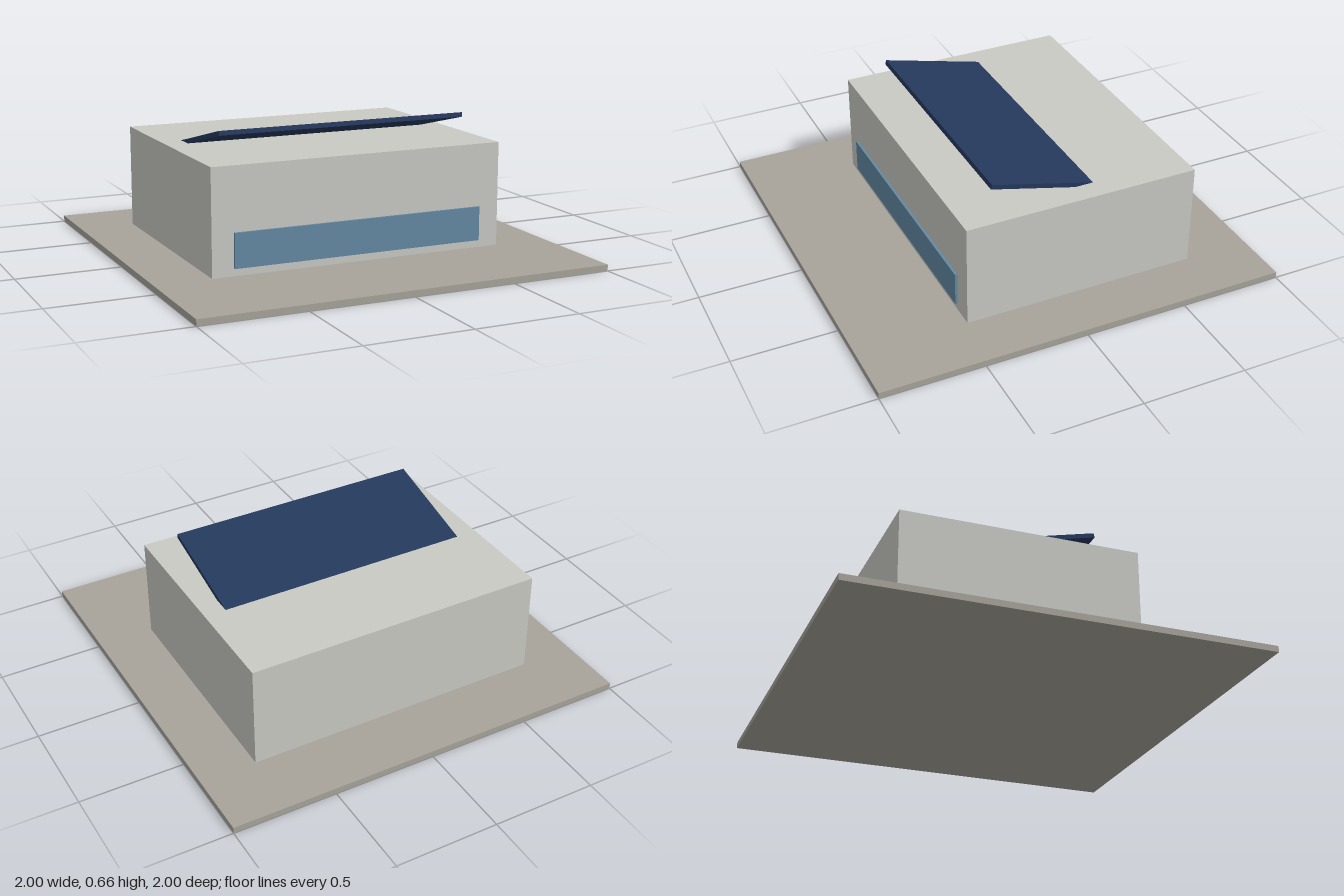
import * as THREE from 'three';

const material = (name, color) => {
  const m = new THREE.MeshStandardMaterial({ color });
  m.name = name;
  return m;
};

export function createModel() {
  const model = new THREE.Group();
  model.name = 'building';

  const stone = material('ground stone', 0xa8a49b);
  const wall = material('pale wall', 0xc9cac4);
  const glass = material('window blue', 0x648aa5);
  const navy = material('panel navy', 0x24385c);

  // Box with its centre at (x, y, z)
  const box = (name, mat, [w, h, d], [x, y, z]) => {
    const mesh = new THREE.Mesh(new THREE.BoxGeometry(w, h, d), mat);
    mesh.name = name;
    mesh.position.set(x, y, z);
    model.add(mesh);
    return mesh;
  };

  // Square ground slab
  box('groundSlab', stone, [2, 0.03, 2], [0, 0.015, 0]);

  // Main block, set back from the front
  box('mainBlock', wall, [1.46, 0.503, 1.145], [0, 0.2815, -0.1045]);

  // Long front window, standing slightly proud of the wall
  box('frontWindow', glass, [1.25, 0.164, 0.02], [0, 0.148, 0.47]);

  // Roof panel rising to the front, its rear edge sunk into the roof
  const panel = box('roofPanel', navy, [1.25, 0.022, 0.56], [0, 0.58, 0.028]);
  panel.rotation.x = THREE.MathUtils.degToRad(-14);

  return model;
}
